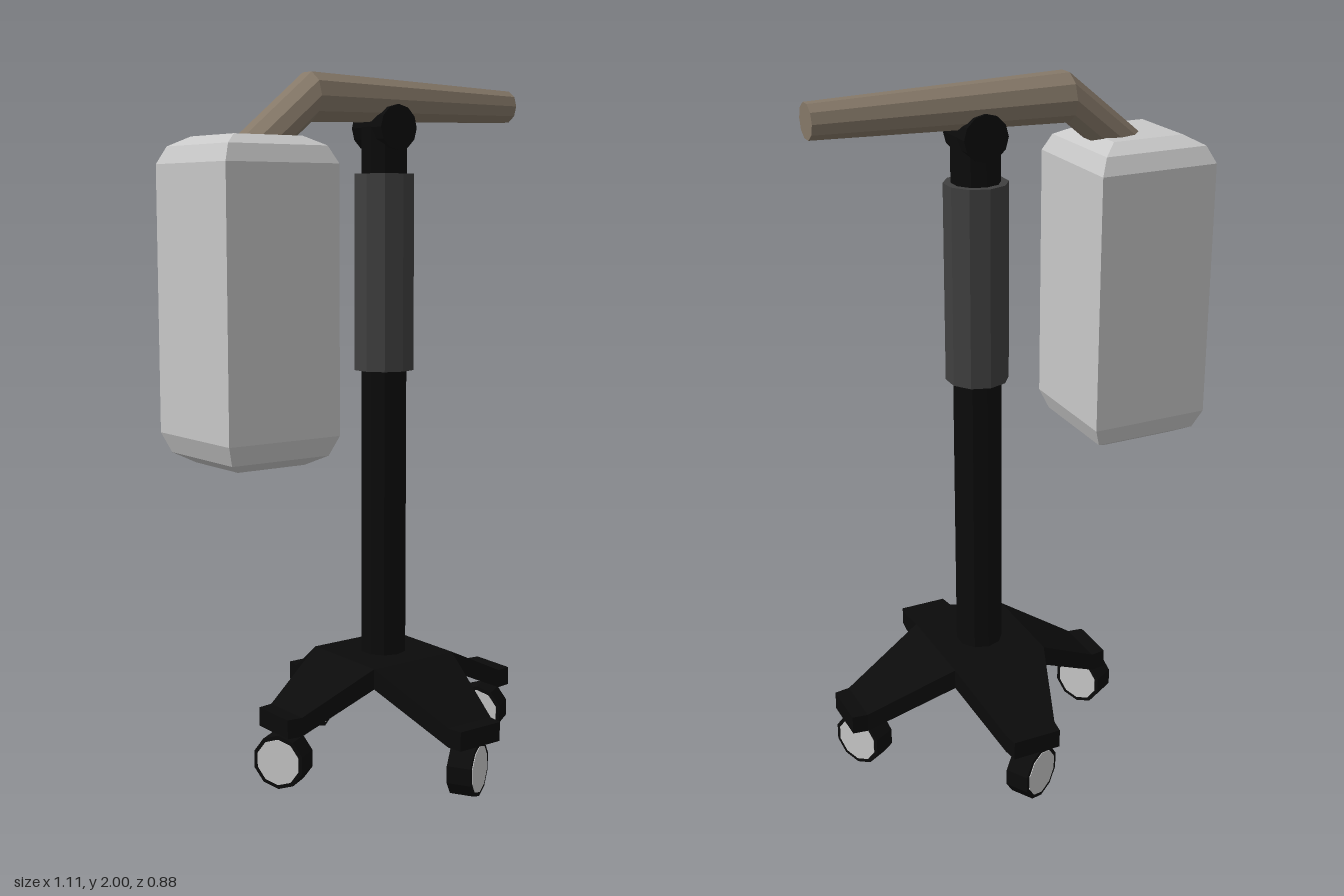
import * as THREE from 'three';

const mat = (name, hex) => {
  const m = new THREE.MeshStandardMaterial({ color: hex });
  m.name = name;
  return m;
};

// Solid skinned through equal-length rings, with flat faces and closed ends.
// Rings run counter-clockwise about the direction of travel.
function loft(rings) {
  const pos = [];
  const tri = (a, b, c) => pos.push(...a, ...b, ...c);
  const n = rings[0].length;
  for (let r = 0; r < rings.length - 1; r++) {
    const a = rings[r], b = rings[r + 1];
    for (let i = 0; i < n; i++) {
      const j = (i + 1) % n;
      tri(a[i], a[j], b[j]);
      tri(a[i], b[j], b[i]);
    }
  }
  const first = rings[0], last = rings[rings.length - 1];
  for (let i = 1; i < n - 1; i++) {
    tri(first[0], first[i + 1], first[i]);
    tri(last[0], last[i], last[i + 1]);
  }
  const g = new THREE.BufferGeometry();
  g.setAttribute('position', new THREE.Float32BufferAttribute(pos, 3));
  g.computeVertexNormals();
  return g;
}

// Faceted cylinder
function prism(radius, height, sides = 10) {
  const g = new THREE.CylinderGeometry(radius, radius, height, sides).toNonIndexed();
  g.computeVertexNormals();
  return g;
}

export function createModel() {
  const model = new THREE.Group();
  const black = mat('black', 0x0b0b0b);
  const charcoal = mat('charcoal', 0x404040);
  const taupe = mat('taupe', 0x857868);
  const lightGrey = mat('light grey', 0xc8c8c8);
  const add = (name, geo, material, x = 0, y = 0, z = 0, parent = model) => {
    const m = new THREE.Mesh(geo, material);
    m.name = name;
    m.position.set(x, y, z);
    parent.add(m);
    return m;
  };
  const CX = 0.085, CZ = -0.02; // column axis

  // Column, sleeve and the pivot barrel at the top
  add('column', prism(0.068, 1.62), black, CX, 1.05, CZ);
  add('sleeve', prism(0.089, 0.56), charcoal, CX, 1.45, CZ);
  add('pivot', prism(0.064, 0.136, 12), black, CX, 1.858, CZ).rotation.x = Math.PI / 2;

  // Bent, tapered boom with upright rings
  const boomRing = (x, y, r) => Array.from({ length: 10 }, (_, i) => {
    const t = (i / 10) * Math.PI * 2;
    return [x, y + r * Math.sin(t), CZ - 0.002 + r * Math.cos(t)];
  });
  add('boom', loft([
    boomRing(0.55, 1.935, 0.048), boomRing(-0.18, 1.934, 0.07), boomRing(-0.46, 1.705, 0.07),
  ]), taupe);

  // Hanging canister: square rings with a two-step bevel at each end
  const squareRing = ([y, h]) => [[-h, y, -h], [-h, y, h], [h, y, h], [h, y, -h]];
  add('canister', loft([
    [0.938, 0.1075], [0.965, 0.155], [1.02, 0.177],
    [1.75, 0.177], [1.797, 0.155], [1.823, 0.1075],
  ].map(squareRing)), lightGrey, -0.378, 0, -0.0225);

  // Base: central plate and four sloping legs
  const base = new THREE.Group();
  base.name = 'base';
  base.position.set(CX, 0, CZ);
  model.add(base);
  add('basePlate', new THREE.BoxGeometry(0.29, 0.06, 0.29), black, 0, 0.3, 0, base);
  const legRing = (x, lo, hi, w) => [[x, lo, -w], [x, hi, -w], [x, hi, w], [x, lo, w]];
  [0.44, 0.39, 0.395, 0.44].forEach((len, i) => {
    const leg = loft([
      legRing(0.145, 0.27, 0.33, 0.145),
      legRing(len - 0.045, 0.155, 0.21, 0.078),
      legRing(len, 0.155, 0.21, 0.072),
    ]);
    add('leg', leg, black, 0, 0, 0, base).rotation.y = (i * Math.PI) / 2;
  });

  // Four casters, each turned the same amount, with a pale disc on both faces
  const tyre = prism(0.079, 0.07);
  const disc = prism(0.067, 0.006);
  for (let i = 0; i < 4; i++) {
    const a = (i * Math.PI) / 2;
    const caster = new THREE.Group();
    caster.name = 'caster';
    caster.position.set(CX + 0.373 * Math.cos(a), 0.078, -0.003 - 0.37 * Math.sin(a));
    caster.rotation.y = Math.PI / 6 + (i % 2 ? 0 : -Math.PI / 2);
    model.add(caster);
    add('tyre', tyre, black, 0, 0, 0, caster).rotation.x = Math.PI / 2;
    for (const s of [-1, 1]) {
      add('hubDisc', disc, lightGrey, 0, 0, s * 0.034, caster).rotation.x = Math.PI / 2;
    }
  }

  return model;
}
